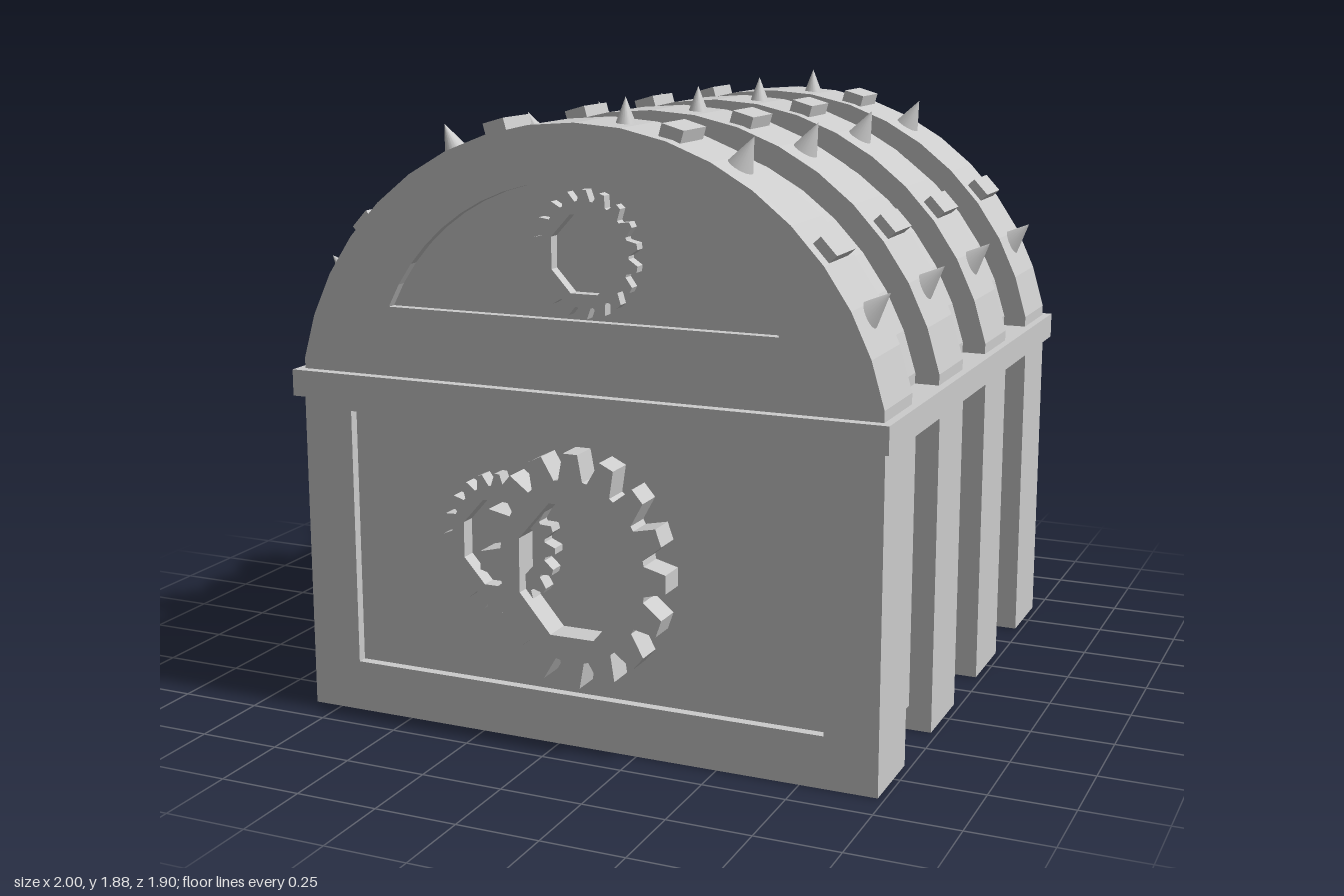
import * as THREE from 'three';

const CX = 0.07, ARCH_Y = 0.905; // chest centre line and arch centre height
const RX = 0.925, RY = 0.913;
const HALF_W = 0.91, BODY_TOP = 0.98, LID_BASE = 1.05;
const END_Z = 0.893, RECESS = 0.03;
const BAND_Z = [0.769, 0.254, -0.254, -0.769], BAND_D = 0.25;

const flat = new THREE.MeshStandardMaterial({ color: 0xcccccc, flatShading: true });
const smooth = new THREE.MeshStandardMaterial({ color: 0xcccccc });

function add(parent, name, geometry, x = 0, y = 0, z = 0, material = flat) {
  const mesh = new THREE.Mesh(geometry, material);
  mesh.name = name;
  mesh.position.set(x, y, z);
  parent.add(mesh);
  return mesh;
}

function extrude(shape, depth) {
  return new THREE.ExtrudeGeometry(shape, { depth, bevelEnabled: false });
}

function rectPoints(x0, y0, x1, y1) {
  return [[x0, y0], [x1, y0], [x1, y1], [x0, y1]].map(([x, y]) => new THREE.Vector2(x, y));
}

// Arch outline, inset from the outer lid surface
function archPoints(inset) {
  const rx = RX - inset, ry = RY - inset, a0 = Math.asin(0.185 / ry), n = 18;
  const pts = [new THREE.Vector2(rx * Math.cos(a0) + CX, LID_BASE)];
  for (let i = 0; i <= n; i++) {
    const a = a0 + (Math.PI - 2 * a0) * i / n;
    pts.push(new THREE.Vector2(CX + rx * Math.cos(a), ARCH_Y + ry * Math.sin(a)));
  }
  pts.push(new THREE.Vector2(CX - rx * Math.cos(a0), LID_BASE));
  return pts;
}

// Segment-shaped recess outline in the lid ends
function lidPanelPoints() {
  const r = 0.667, cy = 0.99, a0 = Math.asin((1.265 - cy) / r), pts = [];
  for (let i = 0; i <= 20; i++) {
    const a = a0 + (Math.PI - 2 * a0) * i / 20;
    pts.push(new THREE.Vector2(CX + r * Math.cos(a), cy + r * Math.sin(a)));
  }
  return pts;
}

// Toothed ring with an octagonal hole, slightly taller than wide
function gearGeometry(ry, rx, root, hole, teeth, tip, depth) {
  const pts = [], step = Math.PI * 2 / teeth;
  const at = (r, a) => new THREE.Vector2(rx * r * Math.cos(a), ry * r * Math.sin(a));
  for (let i = 0; i < teeth; i++) {
    const a = Math.PI / 2 + i * step;
    pts.push(at(root, a - step * 0.42), at(1, a - step * tip), at(1, a + step * tip), at(root, a + step * 0.42));
  }
  const shape = new THREE.Shape(pts);
  const holePts = [];
  for (let i = 0; i < 8; i++) holePts.push(at(hole, (i + 0.5) * Math.PI / 4));
  shape.holes.push(new THREE.Path(holePts));
  return extrude(shape, depth);
}

// Recessed panel frame and gears for one end, facing +z
function makeEnd(name) {
  const end = new THREE.Group();
  end.name = name;
  const bodyFrame = new THREE.Shape(rectPoints(CX - HALF_W, 0, CX + HALF_W, BODY_TOP));
  bodyFrame.holes.push(new THREE.Path(rectPoints(-0.68, 0.155, 0.82, 0.94)));
  add(end, 'bodyPanelFrame', extrude(bodyFrame, RECESS), 0, 0, END_Z - RECESS);

  const lidFrame = new THREE.Shape(archPoints(0));
  lidFrame.holes.push(new THREE.Path(lidPanelPoints()));
  add(end, 'lidPanelFrame', extrude(lidFrame, RECESS), 0, 0, END_Z - RECESS);

  const z = END_Z - RECESS - 0.005;
  add(end, 'largeGear', gearGeometry(0.347, 0.295, 0.78, 0.61, 16, 0.2, 0.95 - z), 0.075, 0.55, z);
  add(end, 'smallGear', gearGeometry(0.21, 0.185, 0.83, 0.66, 20, 0.14, 0.912 - z), -0.18, 0.593, z);
  add(end, 'lidGear', gearGeometry(0.181, 0.165, 0.83, 0.66, 18, 0.14, 0.899 - z), 0.1, 1.455, z);
  return end;
}

// Spikes: base x, base y, lean in degrees, radius, length
const SPIKES = [
  [-0.735, 1.315, 136, 0.043, 0.1],
  [-0.367, 1.705, 116, 0.04, 0.095],
  [0.17, 1.8, 90, 0.033, 0.085],
  [0.512, 1.702, 64, 0.04, 0.095],
  [0.877, 1.315, 45, 0.043, 0.1],
];
// Studs: angle around the arch and tilt, in degrees
const STUDS = [[140.3, 137], [107, 106], [73, 74], [39.7, 43]];

export function createModel() {
  const model = new THREE.Group();
  model.name = 'chest';

  // Inner body and lid between the bands
  add(model, 'bodyCore', new THREE.BoxGeometry(1.68, 0.92, 1.7), CX, 0.535, 0);
  add(model, 'lidCore', extrude(new THREE.Shape(archPoints(0.07)), 1.7), 0, 0, -0.85);

  // Rim between body and lid
  add(model, 'rim', new THREE.BoxGeometry(1.86, 0.08, 1.85), CX, 1.018, 0);

  // Four raised bands with spikes and studs
  BAND_Z.forEach((z, i) => {
    const band = new THREE.Group();
    band.name = 'band' + (i + 1);
    model.add(band);
    const isEnd = i === 0 || i === 3;
    const depth = isEnd ? BAND_D - RECESS : BAND_D;
    const mid = isEnd ? z - Math.sign(z) * RECESS / 2 : z;
    add(band, 'bodyBand', new THREE.BoxGeometry(HALF_W * 2, BODY_TOP, depth), CX, BODY_TOP / 2, mid);
    add(band, 'lidBand', extrude(new THREE.Shape(archPoints(0)), depth), 0, 0, mid - depth / 2);

    for (const [x, y, deg, r, len] of SPIKES) {
      const cone = new THREE.ConeGeometry(r, len, 20).translate(0, len / 2, 0);
      const spike = add(band, 'spike', cone, x, y, z, smooth);
      spike.rotation.z = THREE.MathUtils.degToRad(deg - 90);
    }
    for (const [deg, tilt] of STUDS) {
      const a = THREE.MathUtils.degToRad(deg);
      const stud = add(band, 'stud', new THREE.BoxGeometry(0.068, 0.06, 0.158),
        CX + 0.918 * Math.cos(a), ARCH_Y + 0.918 * Math.sin(a), z);
      stud.rotation.z = THREE.MathUtils.degToRad(tilt - 90);
    }
  });

  // Matching front and back ends
  model.add(makeEnd('frontEnd'));
  const back = makeEnd('backEnd');
  back.scale.z = -1;
  model.add(back);

  // Oval plaque on the side: stepped rim, dished face and centre boss
  const profile = [
    [0, 0], [0.96, 0], [1, 0.012], [1, 0.04], [0.9, 0.052], [0.78, 0.055], [0.74, 0.07],
    [0.62, 0.08], [0.54, 0.08], [0.48, 0.06], [0.3, 0.06], [0.22, 0.075], [0, 0.078],
  ].map(([r, h]) => new THREE.Vector2(r, h));
  const handle = new THREE.Group();
  handle.name = 'handle';
  model.add(handle);
  const plaque = add(handle, 'plaque', new THREE.LatheGeometry(profile, 20), -0.833, 0.96, 0);
  plaque.rotation.z = Math.PI / 2;
  plaque.scale.set(0.253, 1, 0.212);

  // Pull ring
  add(handle, 'pullRing', new THREE.TorusGeometry(0.104, 0.013, 10, 32), -0.883, 0.787, 0, smooth);

  return model;
}
